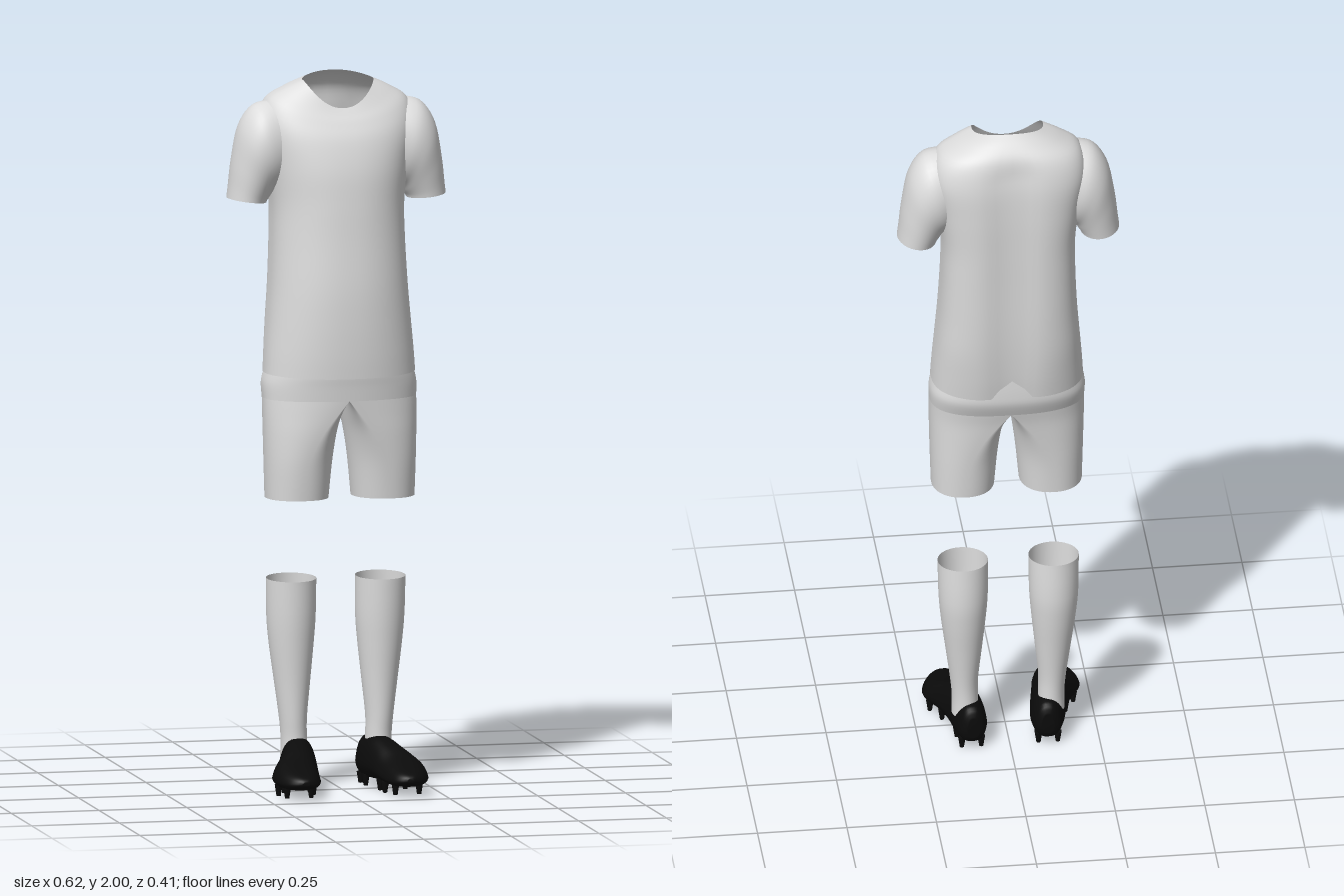
import * as THREE from 'three';

const cloth = new THREE.MeshStandardMaterial({ color: 0xdcdcdc, side: THREE.DoubleSide });
cloth.name = 'pale cloth';
const black = new THREE.MeshStandardMaterial({ color: 0x0b0b0b, side: THREE.DoubleSide });
black.name = 'black leather';

// Catmull-Rom interpolation of every column in a table of key sections
function smooth(rows, steps) {
  const out = [];
  const at = (i) => rows[Math.min(Math.max(i, 0), rows.length - 1)];
  for (let i = 0; i < rows.length - 1; i++) {
    for (let k = 0; k < steps; k++) {
      const t = k / steps;
      out.push(at(i).map((b, c) => {
        const a = at(i - 1)[c], d = at(i + 1)[c], e = at(i + 2)[c];
        return b + 0.5 * t * (d - a + t * (2 * a - 5 * b + 4 * d - e + t * (3 * (b - d) + e - a)));
      }));
    }
  }
  out.push(rows[rows.length - 1]);
  return out;
}

// Skin closed cross-sections; point(row, angle) gives [x, y, z]
function loft(name, material, rows, point, sides = 48, caps = false) {
  const pos = [], index = [];
  for (const row of rows) {
    for (let j = 0; j < sides; j++) pos.push(...point(row, (j / sides) * Math.PI * 2));
  }
  for (let i = 0; i < rows.length - 1; i++) {
    for (let j = 0; j < sides; j++) {
      const a = i * sides + j, b = i * sides + ((j + 1) % sides);
      index.push(a, b, b + sides, a, b + sides, a + sides);
    }
  }
  if (caps) {
    const last = (rows.length - 1) * sides;
    for (let j = 1; j < sides - 1; j++) {
      index.push(0, j + 1, j, last, last + j, last + j + 1);
    }
  }
  const geometry = new THREE.BufferGeometry();
  geometry.setAttribute('position', new THREE.Float32BufferAttribute(pos, 3));
  geometry.setIndex(index);
  geometry.computeVertexNormals();
  const mesh = new THREE.Mesh(geometry, material);
  mesh.name = name;
  return mesh;
}

const power = (v, n) => Math.sign(v) * Math.abs(v) ** (2 / n);

// Rounded body outline, with its own squareness at the back
function outline(a, hw, zf, zb, nb) {
  const s = Math.sin(a), c = Math.cos(a), zc = (zf + zb) / 2;
  const n = c > 0 ? 2.2 : nb;
  return [hw * power(s, n), zc + ((zf - zb) / 2) * power(c, n)];
}

// Torso sections: front y, side y, back y, half width, front z, back z, back squareness
function torsoPoint([yf, ys, yb, hw, zf, zb, nb], a) {
  let [x, z] = outline(a, hw, zf, zb, nb);
  const c = Math.cos(a);
  const y = ys + ((c > 0 ? yf : yb) - ys) * c * c;
  // hollow along the spine
  if (c < 0) z += 0.017 * Math.exp(-((x / 0.06) ** 2)) * THREE.MathUtils.smoothstep(1.98 - y, 0, 0.1) * c * c;
  return [x, y, z];
}

// Leg of the shorts: half of the hip outline turning into an oval
function shortsPoint([y, xin, xout, zf, zb, t], a) {
  const zc = (zf + zb) / 2, c = Math.cos(a), s = Math.sin(a);
  let [dx, dz] = outline(a, xout - xin, zf, zb, 2.6);
  if (s < 0) {
    dx = 0;
    dz = zc + ((zf - zb) / 2) * c;
  }
  const ex = (xout - xin) / 2 * (1 + power(s, 2.2)), ez = zc + ((zf - zb) / 2) * power(c, 2.2);
  return [xin + dx + (ex - dx) * t, y, dz + (ez - dz) * t];
}

function createShoe() {
  const shoe = new THREE.Group();
  shoe.name = 'shoe';
  // z, centre x, half width, bottom y, top y
  const sections = [
    [-0.145, 0.105, 0.018, 0.045, 0.105],
    [-0.132, 0.106, 0.036, 0.026, 0.132],
    [-0.09, 0.109, 0.049, 0.022, 0.138],
    [-0.03, 0.118, 0.053, 0.022, 0.142],
    [0.03, 0.134, 0.06, 0.025, 0.124],
    [0.085, 0.151, 0.069, 0.023, 0.1],
    [0.14, 0.153, 0.062, 0.023, 0.082],
    [0.18, 0.151, 0.046, 0.027, 0.07],
    [0.2, 0.15, 0.028, 0.034, 0.061],
    [0.208, 0.15, 0.01, 0.042, 0.053],
  ];
  shoe.add(loft('shoeUpper', black, smooth(sections, 4), ([z, cx, hw, yb, yt], a) => {
    const s = Math.sin(a), up = (1 + power(s, 2.6)) / 2;
    const taper = 1 - 0.4 * Math.max(0, up - 0.35);
    return [cx + hw * power(Math.cos(a), 2.6) * taper, yb + (yt - yb) * up, z];
  }, 32, true));
  // studs: x, z
  const studs = [[0.08, -0.115], [0.134, -0.115], [0.082, -0.06], [0.142, -0.06],
    [0.1, 0.04], [0.172, 0.035], [0.102, 0.09], [0.2, 0.085], [0.12, 0.14], [0.188, 0.138]];
  for (const [x, z] of studs) {
    const stud = new THREE.Mesh(new THREE.CylinderGeometry(0.011, 0.006, 0.032, 10), black);
    stud.name = 'stud';
    stud.position.set(x, 0.016, z);
    shoe.add(stud);
  }
  return shoe;
}

// Sleeve, leg of the shorts, sock and shoe of the +x side
function createSide() {
  const side = new THREE.Group();
  side.name = 'leftSide';

  // outer x, outer y, inner x, inner y, centre z, half depth
  const sleeve = [
    [0.17, 1.93, 0.14, 1.7, -0.07, 0.085],
    [0.235, 1.918, 0.165, 1.685, -0.07, 0.098],
    [0.277, 1.86, 0.182, 1.675, -0.07, 0.095],
    [0.297, 1.765, 0.191, 1.662, -0.071, 0.084],
    [0.306, 1.69, 0.198, 1.652, -0.072, 0.076],
    [0.31, 1.658, 0.201, 1.645, -0.072, 0.073],
  ];
  side.add(loft('sleeve', cloth, smooth(sleeve, 5), ([ox, oy, ix, iy, cz, d], a) => {
    const c = (1 + Math.cos(a)) / 2;
    return [ix + (ox - ix) * c, iy + (oy - iy) * c, cz + d * Math.sin(a)];
  }, 40));

  // y, inner x, outer x, front z, back z, ovalness
  const shorts = [
    [0.82, 0.035, 0.21, 0.065, -0.125, 1],
    [0.92, 0.026, 0.213, 0.076, -0.132, 0.9],
    [1.0, 0.016, 0.215, 0.085, -0.14, 0.6],
    [1.06, 0.006, 0.216, 0.091, -0.148, 0.25],
    [1.1, 0, 0.216, 0.095, -0.157, 0],
  ];
  side.add(loft('shortsLeg', cloth, smooth(shorts, 5), shortsPoint, 64));

  // y, inner x, outer x, front z, back z
  const sock = [
    [0.09, 0.082, 0.158, -0.025, -0.118],
    [0.14, 0.084, 0.157, -0.028, -0.116],
    [0.2, 0.084, 0.162, -0.025, -0.119],
    [0.3, 0.074, 0.175, -0.02, -0.132],
    [0.4, 0.064, 0.188, -0.013, -0.146],
    [0.48, 0.058, 0.195, -0.008, -0.152],
    [0.587, 0.057, 0.197, -0.005, -0.146],
  ];
  side.add(loft('sock', cloth, smooth(sock, 5), ([y, xi, xo, zf, zb], a) => [
    (xi + xo) / 2 + ((xo - xi) / 2) * Math.sin(a),
    y - (y > 0.5 ? 0.004 * Math.cos(a) : 0),
    (zf + zb) / 2 + ((zf - zb) / 2) * Math.cos(a),
  ], 36));

  side.add(createShoe());
  return side;
}

export function createModel() {
  const model = new THREE.Group();
  model.name = 'footballKit';

  const shirt = [
    [1.165, 1.17, 1.165, 0.212, 0.116, -0.181, 2.6],
    [1.23, 1.23, 1.23, 0.208, 0.119, -0.19, 2.7],
    [1.32, 1.32, 1.32, 0.2, 0.12, -0.198, 3],
    [1.42, 1.42, 1.42, 0.192, 0.117, -0.203, 3.1],
    [1.55, 1.55, 1.55, 0.186, 0.106, -0.206, 3.2],
    [1.65, 1.65, 1.65, 0.186, 0.098, -0.208, 3.2],
    [1.74, 1.76, 1.76, 0.2, 0.088, -0.209, 3.2],
    [1.82, 1.86, 1.86, 0.216, 0.068, -0.205, 3.1],
    [1.868, 1.927, 1.935, 0.2, 0.046, -0.188, 2.8],
    [1.895, 1.962, 1.978, 0.15, 0.03, -0.155, 2.4],
    [1.912, 1.985, 2.0, 0.1, 0.02, -0.125, 2.1],
  ];
  model.add(loft('shirtBody', cloth, smooth(shirt, 5), torsoPoint, 64));

  // Hips of the shorts, tucked under the shirt hem
  const hips = [
    [1.1, 0.216, 0.095, -0.157],
    [1.14, 0.217, 0.099, -0.172],
    [1.175, 0.209, 0.103, -0.174],
    [1.22, 0.196, 0.103, -0.172],
  ];
  model.add(loft('shortsHips', cloth, smooth(hips, 4), ([y, hw, zf, zb], a) => {
    const [x, z] = outline(a, hw, zf, zb, 2.6);
    return [x, y, z];
  }, 64));

  const left = createSide();
  const right = left.clone();
  right.name = 'rightSide';
  right.scale.x = -1;
  model.add(left, right);
  return model;
}
